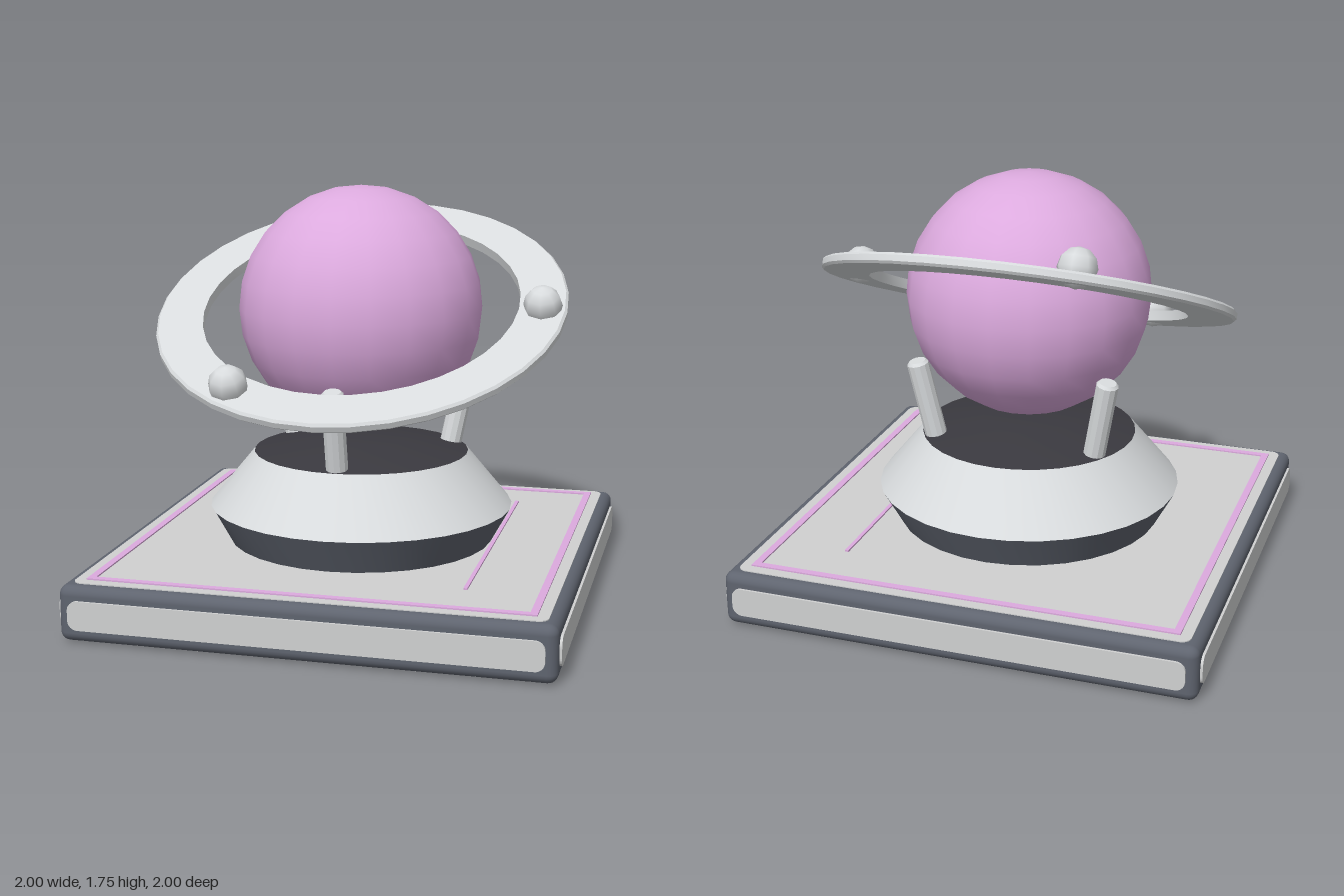
import * as THREE from 'three';
import { toCreasedNormals } from 'three/addons/utils/BufferGeometryUtils.js';
import { RoundedBoxGeometry } from 'three/addons/geometries/RoundedBoxGeometry.js';

const makeMaterial = (name, color) => {
  const m = new THREE.MeshStandardMaterial({ color });
  m.name = name;
  return m;
};

// Rounded rectangle outline centred on the origin
function roundedRect(w, h, r) {
  const s = new THREE.Shape();
  const x = w / 2, y = h / 2;
  s.absarc(x - r, y - r, r, 0, Math.PI / 2);
  s.absarc(-x + r, y - r, r, Math.PI / 2, Math.PI);
  s.absarc(-x + r, -y + r, r, Math.PI, Math.PI * 1.5);
  s.absarc(x - r, -y + r, r, Math.PI * 1.5, Math.PI * 2);
  s.closePath();
  return s;
}

const plate = (shape, depth) =>
  new THREE.ExtrudeGeometry(shape, { depth, bevelEnabled: false, curveSegments: 4 });

// Turned part with sharp profile corners
const turned = (profile, segments) => toCreasedNormals(
  new THREE.LatheGeometry(profile.map(([r, y]) => new THREE.Vector2(r, y)), segments), 0.4);

export function createModel() {
  const model = new THREE.Group();
  const panelGrey = makeMaterial('panelGrey', 0xd0d1d1);
  const paleMetal = makeMaterial('paleMetal', 0xd8dbdd);
  const slate = makeMaterial('slate', 0x5f646f);
  const charcoal = makeMaterial('charcoal', 0x3a393f);
  const pink = makeMaterial('pink', 0xdcaade);

  const add = (parent, name, geometry, material, x = 0, y = 0, z = 0) => {
    const mesh = new THREE.Mesh(geometry, material);
    mesh.name = name;
    mesh.position.set(x, y, z);
    parent.add(mesh);
    return mesh;
  };

  // Square plinth with inset-looking panels
  add(model, 'plinthFrame', new RoundedBoxGeometry(1.98, 0.231, 1.98, 3, 0.04), slate, 0, 0.1205, 0);
  const facePanel = plate(roundedRect(1.89, 0.12, 0.04), 0.012);
  for (let i = 0; i < 4; i++) {
    const a = i * Math.PI / 2;
    const p = add(model, 'sidePanel', facePanel, panelGrey, Math.sin(a) * 0.988, 0.12, Math.cos(a) * 0.988);
    p.rotation.y = a;
  }
  const flatPanel = plate(roundedRect(1.89, 1.89, 0.04), 0.008);
  add(model, 'topPanel', flatPanel, panelGrey, 0, 0.232, 0).rotation.x = -Math.PI / 2;
  add(model, 'bottomPanel', flatPanel, panelGrey, 0, 0.008, 0).rotation.x = Math.PI / 2;

  // Painted border and single stripe on the plinth
  const border = new THREE.Shape([[-0.9, -0.9], [0.9, -0.9], [0.9, 0.9], [-0.9, 0.9]]
    .map(([x, y]) => new THREE.Vector2(x, y)));
  border.holes.push(new THREE.Path([[-0.87, -0.87], [-0.87, 0.87], [0.87, 0.87], [0.87, -0.87]]
    .map(([x, y]) => new THREE.Vector2(x, y))));
  add(model, 'borderStripe', plate(border, 0.006), pink, 0, 0.24, 0).rotation.x = -Math.PI / 2;
  add(model, 'accentStripe', new THREE.BoxGeometry(0.016, 0.008, 1.32), pink, 0.583, 0.243, 0);

  // Pedestal: flared foot, sloping shoulder, low cap
  add(model, 'pedestalFoot', turned([[0, 0.235], [0.565, 0.235], [0.65, 0.39]], 32), slate);
  add(model, 'pedestalShoulder', turned([[0.65, 0.39], [0.46, 0.62]], 32), paleMetal);
  add(model, 'pedestalCap', turned([[0.46, 0.62], [0.2, 0.67], [0, 0.67]], 32), charcoal);

  // Three struts leaning outward around the globe
  const up = new THREE.Vector3(0, 1, 0);
  for (let i = 0; i < 3; i++) {
    const a = i * Math.PI * 2 / 3;
    const at = (r, y) => new THREE.Vector3(Math.sin(a) * r, y, Math.cos(a) * r);
    const foot = at(0.402, 0.6), tip = at(0.482, 0.963);
    const dir = tip.clone().sub(foot);
    const h = dir.length() / 2;
    const strut = add(model, 'strut',
      turned([[0, -h], [0.047, -h], [0.047, h - 0.012], [0.036, h], [0, h]], 12), paleMetal);
    strut.position.copy(foot).add(tip).multiplyScalar(0.5);
    strut.quaternion.setFromUnitVectors(up, dir.normalize());
  }

  // Globe
  add(model, 'globe', new THREE.SphereGeometry(0.517, 20, 14), pink, 0, 1.235, 0);

  // Tilted flat ring carrying three small moons
  const orbit = new THREE.Group();
  orbit.name = 'orbit';
  orbit.position.y = 1.235;
  orbit.rotation.x = THREE.MathUtils.degToRad(24);
  model.add(orbit);
  add(orbit, 'ring', turned([
    [0.675, -0.022], [0.865, -0.022], [0.875, -0.012], [0.875, 0.012],
    [0.865, 0.022], [0.675, 0.022], [0.675, -0.022],
  ], 36), paleMetal);
  for (let i = 0; i < 3; i++) {
    const a = i * Math.PI * 2 / 3;
    add(orbit, 'moon', new THREE.SphereGeometry(0.082, 8, 6), paleMetal,
      Math.cos(a) * 0.775, 0.045, Math.sin(a) * 0.775);
  }
  return model;
}
